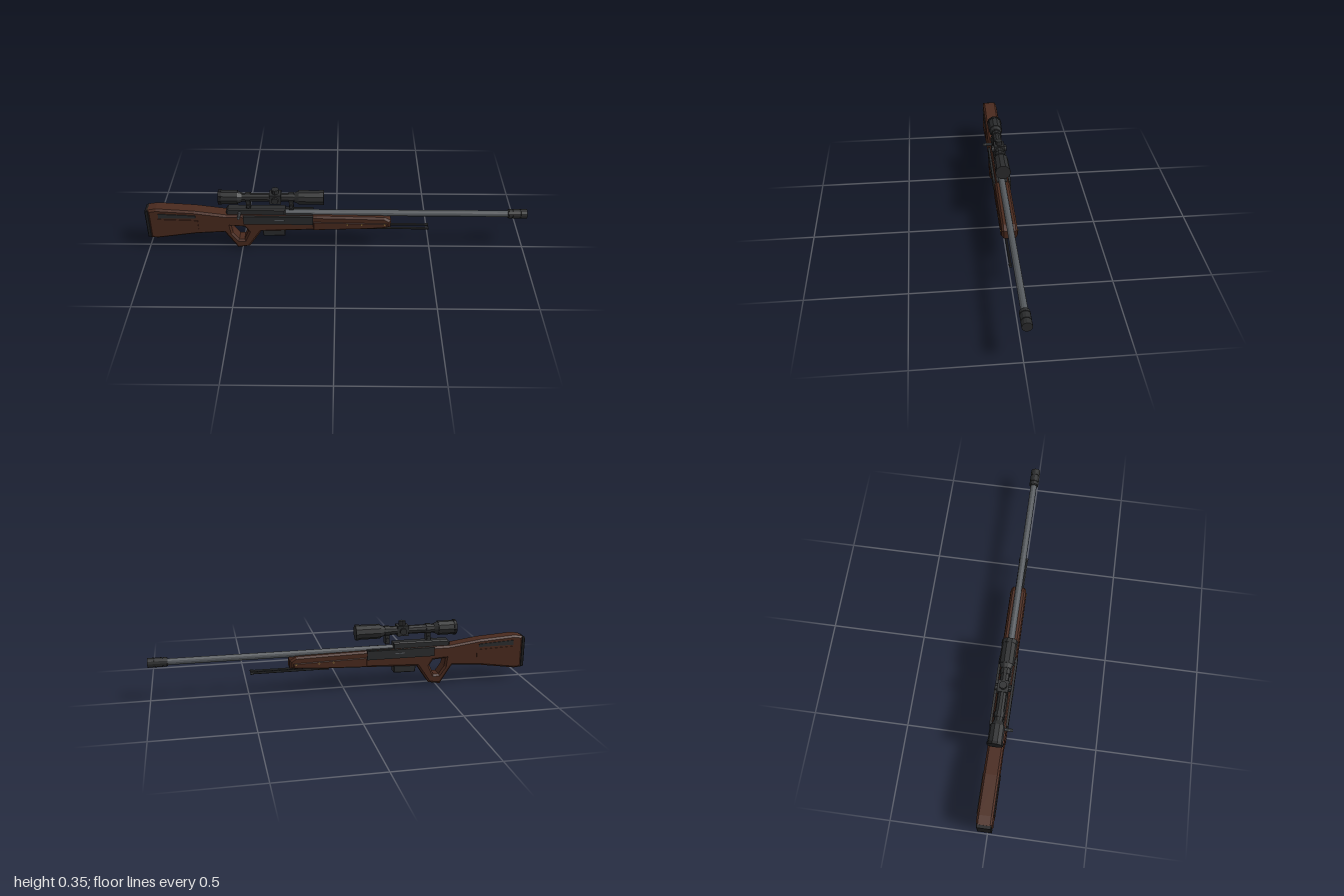
import * as THREE from 'three';

const mat = (name, color) => {
  const m = new THREE.MeshStandardMaterial({ color });
  m.name = name;
  m.flatShading = true;
  return m;
};

export function createModel() {
  const root = new THREE.Group();
  root.name = 'rifle';
  const model = new THREE.Group();
  model.name = 'body';
  model.position.z = -0.012; // side knob and bolt handle shift the overall centre
  root.add(model);

  const wood = mat('brown wood', 0x4a2a1e);
  const dark = mat('dark metal', 0x2b2c2d);
  const black = mat('black rubber', 0x1d1d1e);
  const steel = mat('grey steel', 0x54585c);
  const brass = mat('brass', 0x8a6c3a);

  const add = (name, geo, material, x = 0, y = 0, z = 0) => {
    const m = new THREE.Mesh(geo, material);
    m.name = name;
    m.position.set(x, y, z);
    model.add(m);
    return m;
  };
  const box = (name, material, x0, x1, y0, y1, depth, z = 0) =>
    add(name, new THREE.BoxGeometry(x1 - x0, y1 - y0, depth), material, (x0 + x1) / 2, (y0 + y1) / 2, z);
  // cylinder lying along x
  const rod = (name, material, x0, x1, r, y, z = 0, sides = 10, r1 = r) => {
    const g = new THREE.CylinderGeometry(r1, r, x1 - x0, sides);
    g.rotateZ(-Math.PI / 2);
    return add(name, g, material, (x0 + x1) / 2, y, z);
  };
  const outline = (points) => points.map(([x, y]) => new THREE.Vector2(x, y));
  // side profile extruded across z, with a chamfer that keeps the outline
  const slab = (name, material, points, depth, bevel = 0, z = 0, hole = null) => {
    const shape = new THREE.Shape(outline(points));
    if (hole) shape.holes.push(new THREE.Path(outline(hole)));
    const g = new THREE.ExtrudeGeometry(shape, {
      depth: depth - 2 * bevel, bevelEnabled: bevel > 0, bevelSize: bevel,
      bevelThickness: bevel, bevelOffset: -bevel, bevelSegments: 1,
    });
    g.translate(0, 0, -depth / 2 + bevel);
    return add(name, g, material, 0, 0, z);
  };

  // one-piece stock with thumbhole grip
  slab('stock', wood, [
    [-0.985, 0.068], [-0.95, 0.064], [-0.74, 0.095], [-0.59, 0.105], [-0.525, 0.004],
    [-0.462, 0.014], [-0.395, 0.113], [0.17, 0.135], [0.288, 0.143], [0.288, 0.186],
    [0.255, 0.205], [-0.1, 0.212], [-0.575, 0.215], [-0.74, 0.238], [-0.94, 0.251], [-0.985, 0.243],
  ], 0.08, 0.01, 0, [
    [-0.553, 0.146], [-0.482, 0.141], [-0.464, 0.112], [-0.488, 0.058], [-0.516, 0.058], [-0.546, 0.1],
  ]);
  // wider fore-end cheeks
  slab('foreEnd', wood, [
    [-0.12, 0.127], [0.17, 0.138], [0.27, 0.146], [0.27, 0.172], [-0.12, 0.18],
  ], 0.087, 0.004);
  slab('buttPad', black, [
    [-1, 0.074], [-0.982, 0.068], [-0.982, 0.243], [-1, 0.236],
  ], 0.074, 0.003);

  // stock and receiver side details
  for (const s of [1, -1]) {
    slab('cheekStrip', dark, [
      [-0.93, 0.2], [-0.735, 0.2], [-0.735, 0.216], [-0.93, 0.226],
    ], 0.006, 0, s * 0.041);
    slab('stockPanel', wood, [
      [-0.935, 0.11], [-0.725, 0.13], [-0.725, 0.185], [-0.935, 0.192],
    ], 0.005, 0, s * 0.041);
    box('receiverSidePlate', dark, -0.485, -0.12, 0.167, 0.215, 0.012, s * 0.042);
    box('ejectionSlot', steel, -0.32, -0.27, 0.192, 0.198, 0.003, s * 0.049);
    for (const x of [0.06, 0.135, 0.255]) {
      const g = new THREE.CylinderGeometry(0.005, 0.005, 0.006, 8).rotateX(Math.PI / 2);
      add('stockScrew', g, brass, x, 0.166, s * 0.043);
    }
  }

  // receiver, magazine and bolt
  slab('receiver', dark, [
    [-0.575, 0.2], [-0.265, 0.2], [-0.265, 0.246], [-0.565, 0.246], [-0.575, 0.235],
  ], 0.05, 0.006);
  box('receiverFront', dark, -0.265, -0.12, 0.2, 0.216, 0.055);
  slab('magazine', dark, [
    [-0.385, 0.078], [-0.27, 0.08], [-0.27, 0.13], [-0.392, 0.13],
  ], 0.056, 0.003);
  const bolt = new THREE.CylinderGeometry(0.008, 0.008, 0.06, 8).rotateX(Math.PI / 2);
  add('boltHandle', bolt, steel, -0.505, 0.224, 0.045);

  // barrel and muzzle brake
  rod('barrel', steel, -0.28, 0.92, 0.017, 0.213, 0, 12);
  rod('muzzleCore', dark, 0.9, 0.995, 0.021, 0.213, 0, 12);
  for (const [a, b] of [[0.905, 0.922], [0.926, 0.963], [0.967, 1]])
    rod('muzzleBand', dark, a, b, 0.025, 0.213, 0, 12);

  // folded bipod
  for (const z of [-0.017, 0.017]) {
    rod('bipodLeg', dark, 0.08, 0.49, 0.006, 0.127, z, 8);
    rod('bipodFoot', dark, 0.472, 0.49, 0.008, 0.127, z, 8);
  }
  box('bipodMount', dark, 0.08, 0.13, 0.122, 0.142, 0.046);

  // telescopic sight
  const sy = 0.308;
  rod('scopeTube', dark, -0.52, -0.18, 0.023, sy);
  rod('eyepiece', dark, -0.605, -0.51, 0.038, sy);
  rod('eyepieceRim', black, -0.61, -0.595, 0.041, sy);
  rod('eyepieceTaper', dark, -0.511, -0.488, 0.034, sy, 0, 10, 0.025);
  rod('objectiveTaper', dark, -0.215, -0.192, 0.026, sy, 0, 10, 0.036);
  rod('objective', dark, -0.193, -0.065, 0.039, sy);
  rod('objectiveRim', dark, -0.085, -0.063, 0.041, sy);
  for (const x of [-0.457, -0.233]) {
    rod('scopeRing', dark, x - 0.013, x + 0.013, 0.028, sy);
    box('scopeMount', dark, x - 0.011, x + 0.011, 0.24, 0.29, 0.036);
    const knob = new THREE.CylinderGeometry(0.01, 0.01, 0.05, 8).rotateX(Math.PI / 2);
    add('mountScrew', knob, dark, x, 0.263, 0);
  }
  box('turretBlock', dark, -0.345, -0.285, sy - 0.026, sy + 0.028, 0.056);
  add('topTurret', new THREE.CylinderGeometry(0.019, 0.019, 0.04, 10), dark, -0.315, 0.338, 0);
  const side = new THREE.CylinderGeometry(0.018, 0.018, 0.082, 10).rotateX(Math.PI / 2);
  add('sideTurrets', side, dark, -0.315, sy, 0);

  return root;
}
